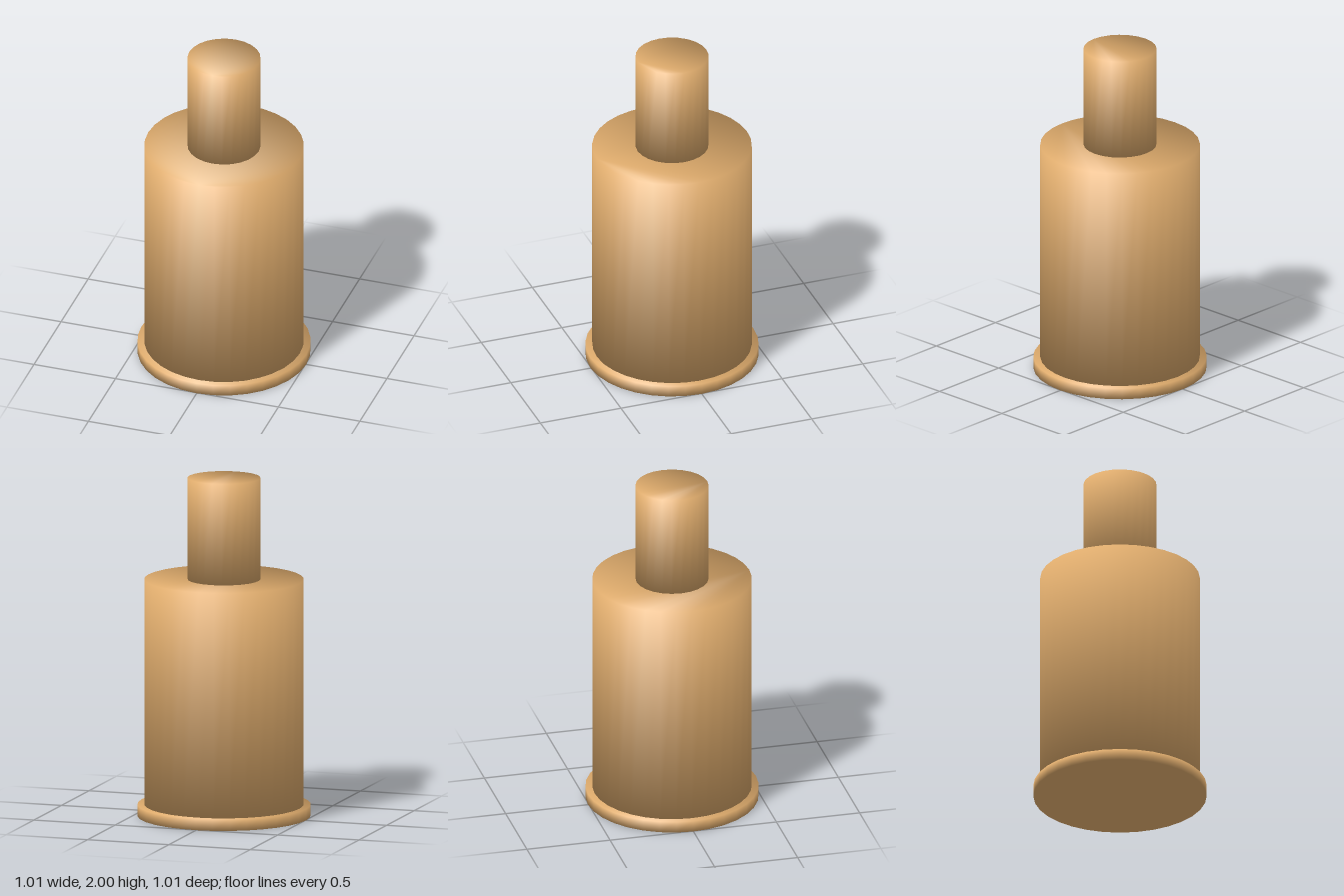
import * as THREE from 'three';

// Capped cylinder whose rim normals blend side and cap at 45 degrees (soft, shared vertices)
function softCylinder(radius, y0, y1, sides) {
  const position = [], normal = [], index = [];
  for (let i = 0; i < sides; i++) {
    const a = (i / sides) * Math.PI * 2;
    const s = Math.sin(a), c = Math.cos(a);
    position.push(radius * s, y0, radius * c, radius * s, y1, radius * c);
    normal.push(s * Math.SQRT1_2, -Math.SQRT1_2, c * Math.SQRT1_2);
    normal.push(s * Math.SQRT1_2, Math.SQRT1_2, c * Math.SQRT1_2);
    // side wall
    const b = 2 * i, n = 2 * ((i + 1) % sides);
    index.push(b, n, n + 1, b, n + 1, b + 1);
    // cap fans
    if (i > 0 && i < sides - 1) index.push(0, n, b, 1, b + 1, n + 1);
  }
  const geometry = new THREE.BufferGeometry();
  geometry.setAttribute('position', new THREE.Float32BufferAttribute(position, 3));
  geometry.setAttribute('normal', new THREE.Float32BufferAttribute(normal, 3));
  geometry.setIndex(index);
  return geometry;
}

export function createModel() {
  const group = new THREE.Group();
  group.name = 'steppedCylinder';
  const tan = new THREE.MeshStandardMaterial({ color: 0xdeab6c });
  tan.name = 'tan';

  // name, radius, bottom, top, sides
  const parts = [
    ['baseFlange', 0.505, 0, 0.067, 32],
    ['body', 0.465, 0.067, 1.4, 32],
    ['neck', 0.213, 1.4, 2, 24],
  ];
  for (const [name, radius, y0, y1, sides] of parts) {
    const mesh = new THREE.Mesh(softCylinder(radius, y0, y1, sides), tan);
    mesh.name = name;
    group.add(mesh);
  }
  return group;
}
